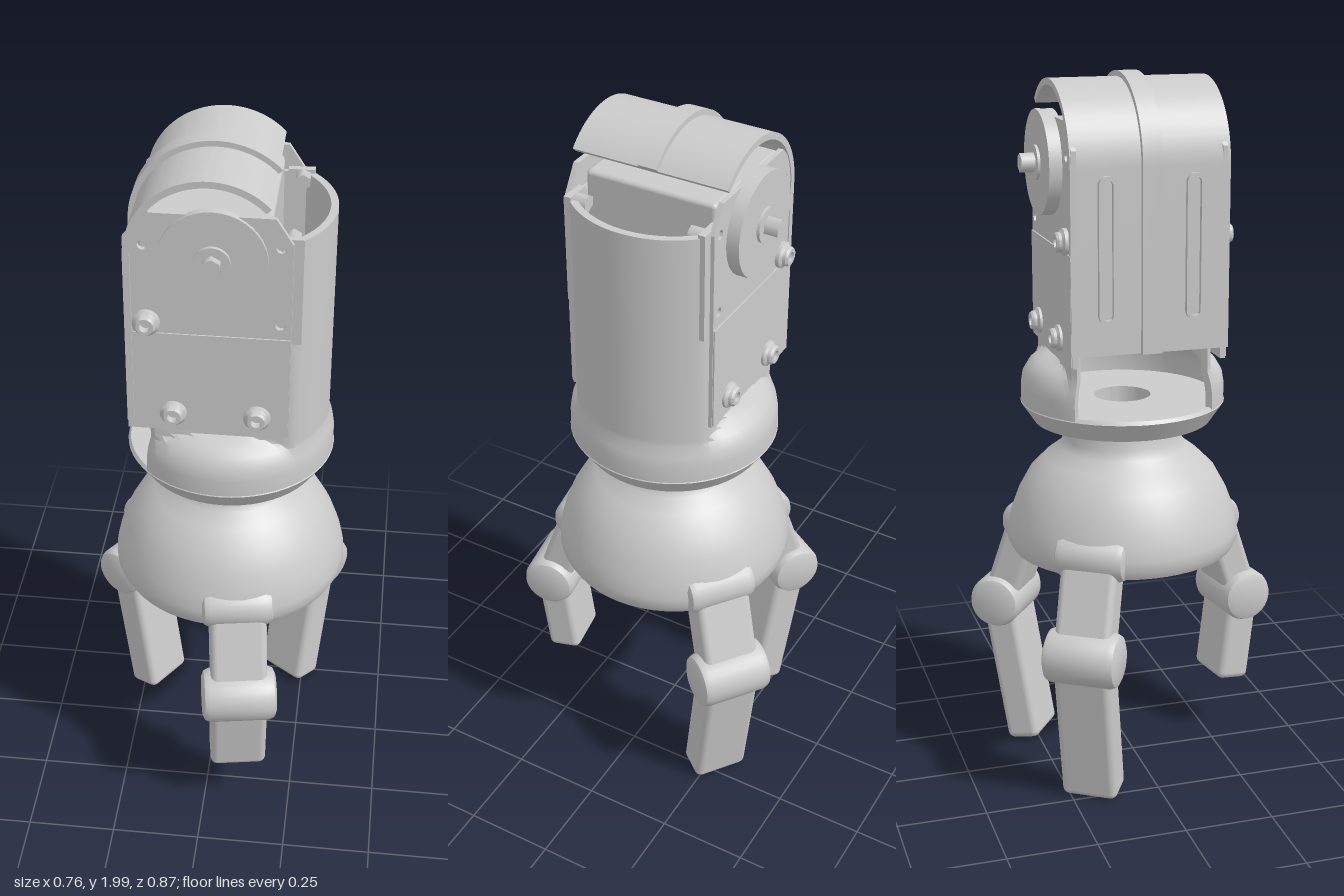
import * as THREE from 'three';
import { toCreasedNormals } from 'three/addons/utils/BufferGeometryUtils.js';
import { RoundedBoxGeometry } from 'three/addons/geometries/RoundedBoxGeometry.js';

const grey = new THREE.MeshStandardMaterial({ color: 0xcccccc });
const greyBoth = new THREE.MeshStandardMaterial({ color: 0xcccccc, side: THREE.DoubleSide });
const CX = 0.037, CZ = -0.02; // axis of wrist and dome
const deg = Math.PI / 180;

function add(parent, name, geo, x = 0, y = 0, z = 0, mat = grey) {
  const m = new THREE.Mesh(geo, mat);
  m.name = name;
  m.position.set(x, y, z);
  parent.add(m);
  return m;
}

function lathe(points, segments = 56) {
  const g = new THREE.LatheGeometry(points.map(p => new THREE.Vector2(p[0], p[1])), segments);
  return toCreasedNormals(g, 0.6);
}

function extrude(shape, depth, bevel = 0) {
  const g = new THREE.ExtrudeGeometry(shape, {
    depth, curveSegments: 28, bevelEnabled: bevel > 0,
    bevelSize: bevel, bevelThickness: bevel, bevelSegments: 2, bevelOffset: -bevel
  });
  return toCreasedNormals(g, 0.5);
}

// Cylinder with softened rims, lying along z
function knuckle(r, w, b = 0.022) {
  const h = w / 2, k = b * 0.3;
  return lathe([[0, -h], [r - b, -h], [r - k, -h + k], [r, -h + b], [r, h - b], [r - k, h - k], [r - b, h], [0, h]], 32)
    .rotateX(Math.PI / 2);
}

// Rounded bar between two points of the finger plane
function bar(parent, name, a, b, thick, width) {
  const dx = b[0] - a[0], dy = b[1] - a[1];
  const m = add(parent, name, new RoundedBoxGeometry(thick, Math.hypot(dx, dy), width, 3, 0.02),
    (a[0] + b[0]) / 2, (a[1] + b[1]) / 2);
  m.rotation.z = Math.atan2(dx, -dy);
}

function finger(angle, tip) {
  const g = new THREE.Group();
  g.name = 'finger';
  add(g, 'shoulderKnuckle', knuckle(0.062, 0.2), 0.28, 0.71);
  bar(g, 'upperLink', [0.275, 0.72], [0.37, 0.44], 0.1, 0.16);
  add(g, 'elbowKnuckle', knuckle(0.077, 0.21), 0.37, 0.45);
  bar(g, 'fingertip', [0.37, 0.46], tip, 0.1, 0.16);
  g.position.set(CX, 0, CZ);
  g.rotation.y = -angle * deg;
  return g;
}

// C-shaped wall: flat-sided column blending into a round, domed foot
function housingWall() {
  const rows = [[1.09, 0.285], [1.14, 0.285], [1.17, 0.28], [1.2, 0.262], [1.215, 0.242],
    [1.225, 0.222], [1.232, 0.2], [1.26, 0], [1.82, 0]];
  const N = 72, span = 137 * deg, n = rows.length, loop = 2 * n, pos = [], idx = [];
  for (let i = 0; i <= N; i++) {
    const t = -span + 2 * span * i / N, s = Math.abs(Math.sin(t));
    const column = Math.min(0.27, 0.2 / Math.max(s, 0.01));
    for (let j = 0; j < loop; j++) {
      const inner = j >= n, row = rows[inner ? loop - 1 - j : j];
      const r = Math.max(column, row[1]) - (inner ? 0.02 : 0);
      pos.push(CX + r * Math.cos(t), row[0], CZ + r * Math.sin(t));
    }
  }
  for (let i = 0; i < N; i++) for (let j = 0; j < loop; j++) {
    const k = (j + 1) % loop, a = i * loop + j, b = i * loop + k, c = b + loop, d = a + loop;
    idx.push(a, b, c, a, c, d);
  }
  for (const e of [0, N * loop]) for (let j = 0; j < n - 1; j++) {
    const a = e + j, b = e + j + 1, c = e + loop - 2 - j, d = e + loop - 1 - j;
    idx.push(a, b, c, a, c, d);
  }
  const g = new THREE.BufferGeometry();
  g.setAttribute('position', new THREE.Float32BufferAttribute(pos, 3));
  g.setIndex(idx);
  return toCreasedNormals(g, 0.5);
}

// Strip that rises along the back and curls over the top
function coverStrip(R, thick, width, bottom) {
  const s = new THREE.Shape(), r = R - thick, y = 1.77, end = 44 * deg;
  s.moveTo(-R, bottom);
  s.lineTo(-R, y);
  s.absarc(0, y, R, Math.PI, end, true);
  s.lineTo(r * Math.cos(end), y + r * Math.sin(end));
  s.absarc(0, y, r, end, Math.PI, false);
  s.lineTo(-r, bottom);
  return extrude(s, width).translate(0, 0, -width / 2);
}

function capsulePath(path, r, half) {
  path.absarc(0, half, r, 0, Math.PI, false);
  path.absarc(0, -half, r, Math.PI, Math.PI * 2, false);
  path.closePath();
  return path;
}

function sidePlate() {
  const s = new THREE.Shape([[-0.215, 1.25], [0.21, 1.25], [0.21, 1.82], [0.165, 1.89], [-0.15, 1.89], [-0.215, 1.82]]
    .map(p => new THREE.Vector2(...p)));
  for (const [x, y] of [[-0.165, 1.8], [0.18, 1.81], [0.182, 1.59]]) {
    s.holes.push(new THREE.Path().absarc(x, y, 0.013, 0, Math.PI * 2, true));
  }
  return extrude(s, 0.014).translate(0, 0, -0.007);
}

export function createModel() {
  const model = new THREE.Group();
  model.name = 'roboticGripper';

  // Hollow dome with neck
  add(model, 'palmDome', lathe([[0.13, 0.9], [0.2, 0.86], [0.25, 0.78], [0.285, 0.69], [0.29, 0.665], [0.3, 0.655],
    [0.318, 0.662], [0.33, 0.685], [0.33, 0.715], [0.32, 0.76], [0.298, 0.82], [0.265, 0.88], [0.22, 0.925],
    [0.18, 0.955], [0.165, 0.98], [0.165, 1.045], [0, 1.045]]), CX, 0, CZ, greyBoth);
  add(model, 'palmCeiling', new THREE.CylinderGeometry(0.15, 0.15, 0.03, 40), CX, 0.9, CZ);

  // Three fingers; the front one is bent shorter
  model.add(finger(80, [0.335, 0.18]), finger(-54, [0.292, 0.012]), finger(213, [0.292, 0.012]));

  // Wrist collar with open centre, and the wall above it
  add(model, 'wristCollar', lathe([[0.08, 1.1], [0.08, 1.035], [0.19, 1.025], [0.2, 1.04], [0.25, 1.035],
    [0.287, 1.09], [0.28, 1.1], [0.08, 1.1]]), CX, 0, CZ, greyBoth);
  add(model, 'housingWall', housingWall(), 0, 0, 0, greyBoth);

  // Motor in the housing
  const ZM = -0.0175;
  add(model, 'motorBody', new RoundedBoxGeometry(0.34, 0.6, 0.37, 2, 0.012), -0.015, 1.57, ZM);
  add(model, 'motorPost', new THREE.BoxGeometry(0.08, 0.12, 0.05), 0.01, 1.92, ZM);
  add(model, 'cover', coverStrip(0.215, 0.018, 0.435, 1.28), 0, 0, -0.015);
  add(model, 'coverRidge', coverStrip(0.23, 0.03, 0.054, 1.28), 0, 0, -0.015);
  for (const z of [-0.135, 0.105]) {
    const slot = capsulePath(new THREE.Shape(), 0.025, 0.17);
    slot.holes.push(capsulePath(new THREE.Path(), 0.014, 0.17));
    add(model, 'coverSlot', extrude(slot, 0.025).rotateY(-Math.PI / 2), -0.203, 1.56, z);
  }

  // Side plates with output disc, shaft and screws
  const screw = lathe([[0.016, -0.012], [0.036, -0.012], [0.036, 0.006], [0.027, 0.012], [0.027, 0.02],
    [0.023, 0.026], [0.014, 0.026], [0.014, 0.004], [0, 0.004]], 20).rotateX(Math.PI / 2);
  for (const side of [1, -1]) {
    const g = new THREE.Group();
    g.name = side > 0 ? 'frontSide' : 'backSide';
    const at = d => ZM + side * d;
    const disc = (name, r, d0, d1, n = 40) =>
      add(g, name, new THREE.CylinderGeometry(r, r, d1 - d0, n).rotateX(Math.PI / 2), 0.01, 1.765, at((d0 + d1) / 2));
    add(g, 'sidePlate', sidePlate(), 0, 0, at(0.205));
    add(g, 'lowerPad', new THREE.BoxGeometry(0.42, 0.295, 0.012), -0.002, 1.402, at(0.21));
    const out = side > 0 ? 0 : 0.025; // the rear drive stands out further
    disc('outputDisc', 0.14, 0.2, 0.222 + out);
    disc('hub', 0.047, 0.21, 0.232 + out * 0.9);
    disc('shaft', 0.026, 0.22, 0.253 + out * 1.6, 6);
    for (const [x, y] of [[-0.16, 1.58], [-0.093, 1.308], [0.127, 1.308]]) {
      const s = add(g, 'screw', screw, x, y, at(0.217), greyBoth);
      if (side < 0) s.rotation.y = Math.PI;
    }
    // Inner lug behind the plate's free edge
    add(g, 'mountingLug', new THREE.BoxGeometry(0.07, 0.3, 0.02), 0.2, 1.68, at(0.19));
    const bolt = new THREE.CylinderGeometry(0.022, 0.022, 0.04, 6).rotateX(Math.PI / 2);
    for (const y of [1.59, 1.81]) add(g, 'lugNut', bolt, 0.205, y, at(0.165));
    model.add(g);
  }
  return model;
}
